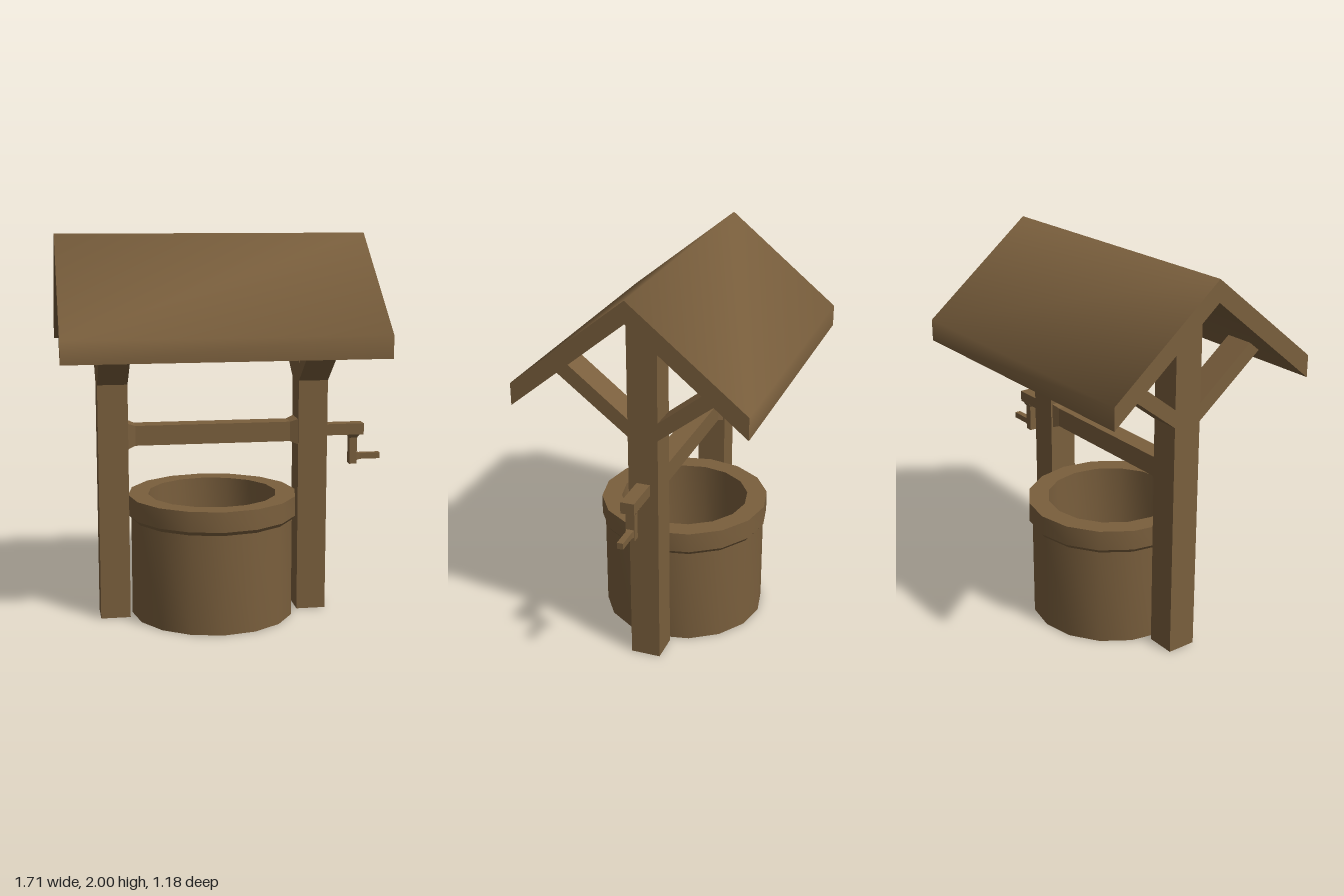
import * as THREE from 'three';
import { toCreasedNormals } from 'three/addons/utils/BufferGeometryUtils.js';

const CENTRE_X = -0.057; // middle of the well, posts and roof

export function createModel() {
  const model = new THREE.Group();
  model.name = 'well';
  const wood = new THREE.MeshStandardMaterial({ color: 0x7a5f3d });
  wood.name = 'brown wood';

  const add = (name, geometry, x = 0, y = 0, z = 0) => {
    const mesh = new THREE.Mesh(geometry, wood);
    mesh.name = name;
    mesh.position.set(x, y, z);
    model.add(mesh);
    return mesh;
  };

  // Extrude a [z, y] outline along x, centred on its length
  const extrudeX = (points, length) => {
    const shape = new THREE.Shape(points.map(([z, y]) => new THREE.Vector2(z, y)));
    const g = new THREE.ExtrudeGeometry(shape, { depth: length, bevelEnabled: false });
    return g.translate(0, 0, -length / 2).rotateY(Math.PI / 2);
  };

  // Square bar along y from [half width, y] sections, closed at both ends
  const squareBar = (sections) => {
    const first = sections[0], last = sections[sections.length - 1];
    const points = [[0, first[1]], ...sections, [0, last[1]]]
      .map(([half, y]) => new THREE.Vector2(half * Math.SQRT2, y));
    return toCreasedNormals(new THREE.LatheGeometry(points, 4, Math.PI / 4), 0.1);
  };

  // Hollow basin with a wider rim
  const profile = [
    [0, 0], [0.43, 0], [0.43, 0.52], [0.446, 0.54], [0.446, 0.645],
    [0.34, 0.645], [0.34, 0.03], [0, 0.03],
  ].map(([r, y]) => new THREE.Vector2(r, y));
  add('basin', toCreasedNormals(new THREE.LatheGeometry(profile, 16), 0.5), CENTRE_X);

  // Gabled roof, softly shaded over ridge and eaves
  const roof = extrudeX([
    [0, 2], [-0.588, 1.525], [-0.588, 1.412], [0, 1.89], [0.588, 1.412], [0.588, 1.525],
  ], 1.599);
  add('roof', toCreasedNormals(roof, THREE.MathUtils.degToRad(80)), CENTRE_X);

  // Posts with pointed tops, each carrying two roof braces
  for (const [side, label] of [[1, 'left'], [-1, 'right']]) {
    const x = CENTRE_X + side * 0.5245;
    add(label + 'Post', extrudeX([
      [-0.077, 0], [0.077, 0], [0.077, 1.828], [0, 1.89], [-0.077, 1.828],
    ], 0.155), x);
    for (const s of [1, -1]) {
      add(label + (s > 0 ? 'FrontBrace' : 'BackBrace'), extrudeX([
        [s * 0.077, 1.24], [s * 0.447, 1.527], [s * 0.387, 1.576], [s * 0.077, 1.332],
      ], 0.155), x);
    }
  }

  // Crossbeam flaring where it meets the posts
  add('crossbeam', squareBar([
    [0.068, -0.449], [0.052, -0.408], [0.052, 0.408], [0.068, 0.449],
  ]).rotateZ(-Math.PI / 2), CENTRE_X, 0.968, 0);

  // Crank: axle, hanging arm and handle
  add('crankAxle', new THREE.BoxGeometry(0.212, 0.06, 0.07), 0.65, 0.967, 0);
  add('crankArm', squareBar([
    [0.02, 0.776], [0.02, 0.918], [0.031, 0.938],
  ]).scale(1, 1, 1.15), 0.703, 0, 0);
  add('crankHandle', squareBar([
    [0.021, 0.72], [0.016, 0.742], [0.016, 0.852],
  ]).rotateZ(-Math.PI / 2), 0, 0.816, 0);

  return model;
}
